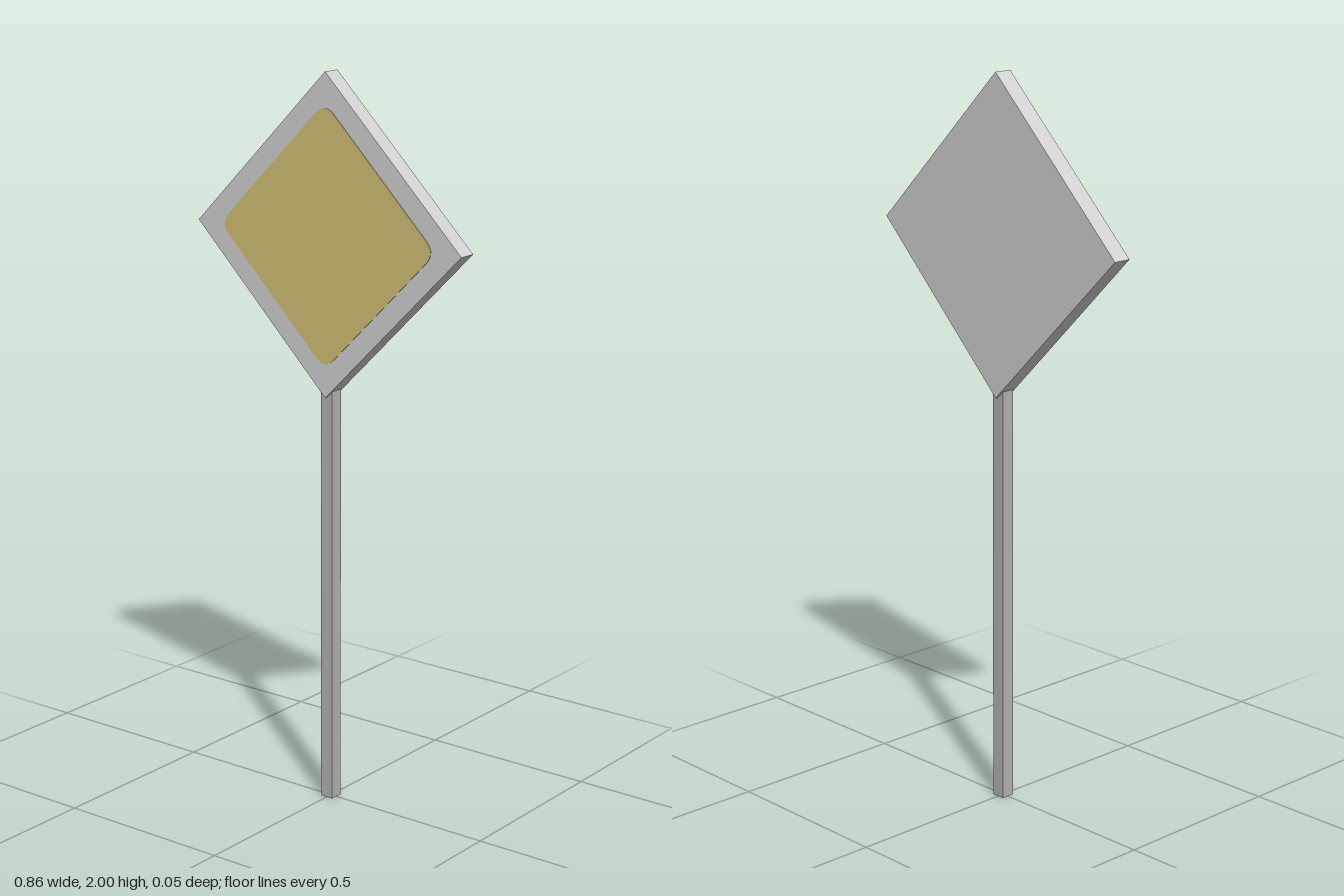
import * as THREE from 'three';

export function createModel() {
  const group = new THREE.Group();
  const flat = (name, color) => {
    const m = new THREE.MeshStandardMaterial({ color, flatShading: true });
    m.name = name;
    return m;
  };
  const plateGrey = flat('plate grey', 0xd2d2d2);
  const postGrey = flat('post grey', 0xb4b4b4);
  const yellow = flat('sign yellow', 0xd2c076);

  const add = (name, geometry, material, x, y, z) => {
    const mesh = new THREE.Mesh(geometry, material);
    mesh.name = name;
    mesh.position.set(x, y, z);
    group.add(mesh);
    return mesh;
  };

  const centreY = 1.57, halfDiagonal = 0.43;

  // Square post, ending just inside the plate's lower corner
  const postTop = 1.17;
  add('post', new THREE.BoxGeometry(0.038, postTop, 0.038), postGrey, 0, postTop / 2, 0);

  // Square plate standing on its corner
  const side = halfDiagonal * Math.SQRT2;
  const plate = add('signPlate', new THREE.BoxGeometry(side, side, 0.052), plateGrey, 0, centreY, -0.001);
  plate.rotation.z = Math.PI / 4;

  // Yellow field with softened corners
  const r = 0.352, cut = 0.03;
  const shape = new THREE.Shape();
  for (let i = 0; i < 4; i++) {
    const a = i * Math.PI / 2;
    const at = (u, v) => [u * Math.cos(a) - v * Math.sin(a), u * Math.sin(a) + v * Math.cos(a)];
    const start = at(r - cut, -cut);
    if (i === 0) shape.moveTo(...start);
    else shape.lineTo(...start);
    shape.quadraticCurveTo(...at(r, 0), ...at(r - cut, cut));
  }
  shape.closePath();
  const field = new THREE.ExtrudeGeometry(shape, { depth: 0.003, bevelEnabled: false, curveSegments: 5 });
  add('yellowField', field, yellow, 0, centreY, 0.024);

  return group;
}
